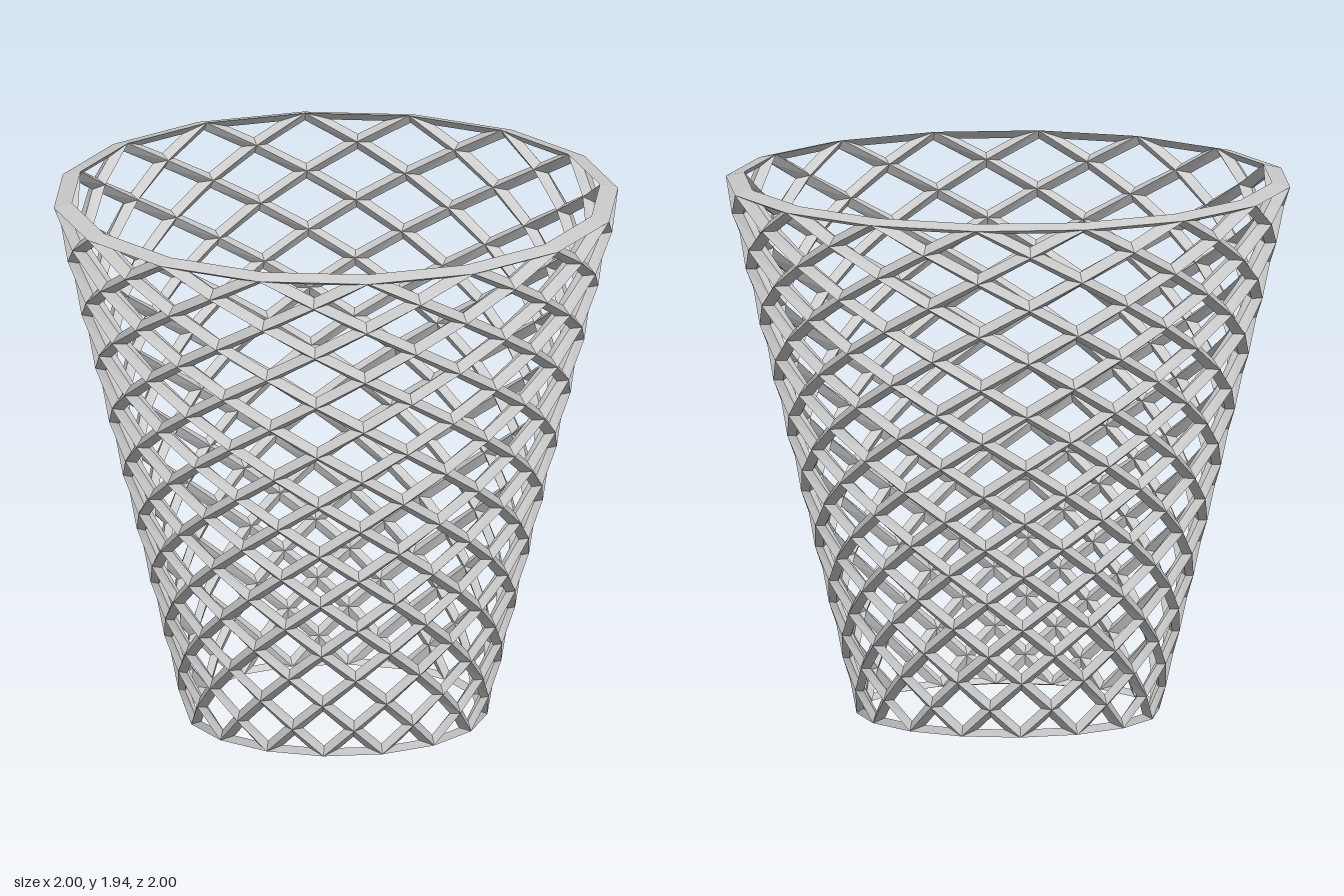
import * as THREE from 'three';

const LEVELS = 19;        // rows of crossings above the base
const SIDES = 16;         // crossings per row
const STEP = Math.PI / SIDES;
const BAR = 0.024;        // half width of a bar, measured along the wall

// Crossing point on the tapered wall; side = 1 outer ridge, -1 inner ridge, 0 middle
function node([k, m], side = 0) {
  const t = k / LEVELS;
  const offset = side * (0.0175 + 0.0165 * t);
  const r = 0.528 + 0.458 * t + offset * 0.973;
  const y = 0.004 + 1.933 * t - offset * 0.23;
  return new THREE.Vector3(r * Math.sin(m * STEP), y, r * Math.cos(m * STEP));
}

// Corner of the opening, moved in from both neighbouring bars
function insetCorner(p, a, b) {
  const u = a.clone().sub(p).normalize();
  const v = b.clone().sub(p).normalize();
  const sin = u.clone().cross(v).length();
  return p.clone().addScaledVector(u.add(v), BAR / sin);
}

function addQuad(list, a, b, c, d) {
  for (const p of [a, b, c, a, c, d]) list.push(p.x, p.y, p.z);
}

// Frames one opening with bevelled half bars; the first edge may belong to a rim
function frameOpening(corners, lattice, rim) {
  const n = corners.length;
  const mid = corners.map((c) => node(c));
  const outer = corners.map((c) => node(c, 1));
  const inner = corners.map((c) => node(c, -1));
  const inset = mid.map((p, i) => insetCorner(p, mid[(i + 1) % n], mid[(i + n - 1) % n]));
  for (let i = 0; i < n; i++) {
    const j = (i + 1) % n;
    const list = rim && i === 0 ? rim : lattice;
    addQuad(list, outer[i], outer[j], inset[j], inset[i]);
    addQuad(list, inner[j], inner[i], inset[i], inset[j]);
    if (list === rim) addQuad(list, outer[j], outer[i], inner[i], inner[j]);
  }
}

function makeMesh(name, positions) {
  const geometry = new THREE.BufferGeometry();
  geometry.setAttribute('position', new THREE.Float32BufferAttribute(positions, 3));
  geometry.computeVertexNormals();
  const material = new THREE.MeshStandardMaterial({ color: 0xcccccc, flatShading: true });
  const mesh = new THREE.Mesh(geometry, material);
  mesh.name = name;
  return mesh;
}

export function createModel() {
  const lattice = [], topRim = [], bottomRim = [];

  for (let j = 0; j < SIDES; j++) {
    // Diamond openings
    for (let k = 0; k <= LEVELS - 2; k++) {
      const m = 2 * j + (k % 2);
      frameOpening([[k, m], [k + 1, m + 1], [k + 2, m], [k + 1, m - 1]], lattice);
    }
    // Triangular openings along the two rims
    const m = 2 * j;
    frameOpening([[0, m], [0, m + 2], [1, m + 1]], lattice, bottomRim);
    frameOpening([[LEVELS, m + 1], [LEVELS, m - 1], [LEVELS - 1, m]], lattice, topRim);
  }

  const basket = new THREE.Group();
  basket.name = 'latticeBasket';
  basket.add(
    makeMesh('latticeWall', lattice),
    makeMesh('topRim', topRim),
    makeMesh('bottomRim', bottomRim),
  );
  return basket;
}
